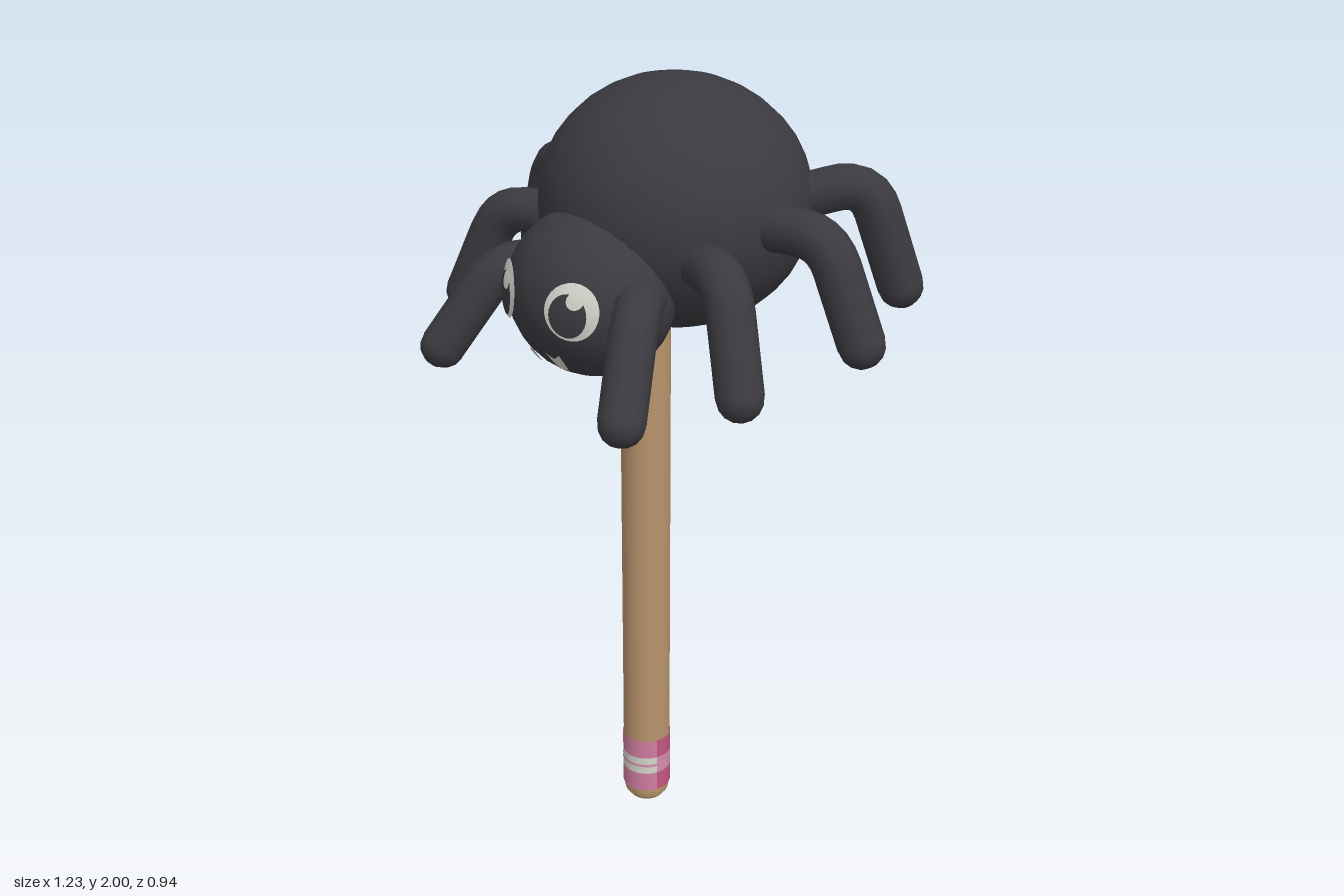
import * as THREE from 'three';

const material = (name, color, side = THREE.FrontSide) => {
  const m = new THREE.MeshStandardMaterial({ color, side });
  m.name = name;
  return m;
};

export function createModel() {
  const black = material('charcoal', 0x3b3a40);
  const wood = material('wood', 0xb8946c);
  const tipWood = material('pale wood', 0xc6a675);
  const pink = material('pink', 0xd07c9f, THREE.DoubleSide);
  const deepPink = material('deep pink', 0xc2577f, THREE.DoubleSide);
  const palePink = material('pale pink', 0xd48fac, THREE.DoubleSide);
  const white = material('off white', 0xd6d6ce, THREE.DoubleSide);

  const model = new THREE.Group();
  const add = (name, geometry, mat, parent = model) => {
    const mesh = new THREE.Mesh(geometry, mat);
    mesh.name = name;
    parent.add(mesh);
    return mesh;
  };
  const ellipsoid = (name, center, radii) => {
    const mesh = add(name, new THREE.SphereGeometry(1, 28, 18), black);
    mesh.position.copy(center);
    mesh.scale.copy(radii);
  };

  // Body and head
  ellipsoid('body', new THREE.Vector3(0, 1.697, -0.065), new THREE.Vector3(0.34, 0.303, 0.325));
  const headC = new THREE.Vector3(0, 1.535, 0.21);
  const headR = new THREE.Vector3(0.217, 0.2, 0.185);
  ellipsoid('head', headC, headR);

  // Presses a flat shape (x, y) onto the front of the head, slightly raised
  const onHead = (geometry, lift) => {
    const p = geometry.attributes.position;
    for (let i = 0; i < p.count; i++) {
      const u = (p.getX(i) - headC.x) / headR.x;
      const v = (p.getY(i) - headC.y) / headR.y;
      const w = Math.sqrt(Math.max(0.02, 1 - u * u - v * v));
      p.setZ(i, headC.z + headR.z * w + lift);
    }
    geometry.computeVertexNormals();
    return geometry;
  };
  const disc = (x, y, rx, ry, lift) =>
    onHead(new THREE.RingGeometry(0, 1, 28, 5).scale(rx, ry, 1).translate(x, y, 0), lift);

  // Eyes and fangs
  for (const s of [-1, 1]) {
    const face = s > 0 ? 'left' : 'right';
    add(face + 'EyeWhite', disc(s * 0.11, 1.553, 0.058, 0.068, 0.012), white);
    add(face + 'Pupil', disc(s * 0.108, 1.546, 0.041, 0.052, 0.016), black);
    add(face + 'EyeHighlight', disc(s * 0.108 + 0.018, 1.585, 0.018, 0.021, 0.02), white);
    const fang = new THREE.Shape();
    fang.moveTo(s * 0.043 - 0.021, 1.435);
    fang.lineTo(s * 0.043 - 0.012, 1.385);
    fang.lineTo(s * 0.043 + 0.012, 1.385);
    fang.lineTo(s * 0.043 + 0.021, 1.435);
    fang.lineTo(s * 0.043, 1.42);
    add(face + 'Fang', onHead(new THREE.ShapeGeometry(fang), 0.01), white);
  }

  // Legs: root, knee and foot on the left, mirrored to the right
  const legs = [
    [[0.12, 1.56, 0.14], [0.235, 1.565, 0.29], [0.318, 1.362, 0.412]],
    [[0.18, 1.63, 0.07], [0.385, 1.645, 0.155], [0.478, 1.41, 0.205]],
    [[0.24, 1.70, -0.045], [0.462, 1.71, -0.085], [0.557, 1.47, -0.11]],
    [[0.19, 1.70, -0.19], [0.36, 1.765, -0.345], [0.42, 1.50, -0.416]],
  ];
  const radius = 0.056;
  legs.forEach((joints, i) => {
    for (const s of [-1, 1]) {
      const [root, knee, foot] = joints.map(([x, y, z]) => new THREE.Vector3(s * x, y, z));
      const before = knee.clone().lerp(root, 0.35);
      const after = knee.clone().lerp(foot, 0.3);
      const path = new THREE.CurvePath();
      path.add(new THREE.LineCurve3(root, before));
      path.add(new THREE.QuadraticBezierCurve3(before, knee, after));
      path.add(new THREE.LineCurve3(after, foot));
      const leg = new THREE.Group();
      leg.name = (s > 0 ? 'left' : 'right') + 'Leg' + (i + 1);
      add('limb', new THREE.TubeGeometry(path, 20, radius, 12), black, leg);
      const tip = add('foot', new THREE.SphereGeometry(radius, 12, 8), black, leg);
      tip.position.copy(foot);
      tip.quaternion.setFromUnitVectors(new THREE.Vector3(0, -1, 0), foot.clone().sub(after).normalize());
      model.add(leg);
    }
  });

  // Stick with a rounded paler end
  const stick = new THREE.Group();
  stick.name = 'stick';
  stick.position.z = 0.036;
  model.add(stick);
  const r = 0.063;
  add('shaft', new THREE.CylinderGeometry(r, r, 1.39, 20, 1, true).translate(0, 0.755, 0), wood, stick);
  const end = [[0, 0.006], [0.025, 0.008], [0.046, 0.018], [0.058, 0.034], [r, 0.06]];
  end[0][1] = 0;
  add('roundedEnd', new THREE.LatheGeometry(end.map(([x, y]) => new THREE.Vector2(x, y)), 20), tipWood, stick);

  // Painted bands: the front and the back wear different shades
  const front = 1.25;
  const band = (name, y0, y1, start, sweep, mat, lift = 0.0015) =>
    add(name, new THREE.CylinderGeometry(r + lift, r + lift, y1 - y0, 16, 1, true, start, sweep)
      .translate(0, (y0 + y1) / 2, 0), mat, stick);
  for (const [y0, y1] of [[0.06, 0.115], [0.165, 0.22]]) {
    band('frontBand', y0, y1, -front, 2 * front, pink);
    band('backBand', y0, y1, front, 2 * (Math.PI - front), deepPink);
  }
  band('frontMiddleBand', 0.115, 0.165, -front, 2 * front, white);
  band('frontMiddleLine', 0.137, 0.145, -front, 2 * front, palePink, 0.0025);
  band('backMiddleBand', 0.115, 0.165, front, 2 * (Math.PI - front), palePink);

  return model;
}
